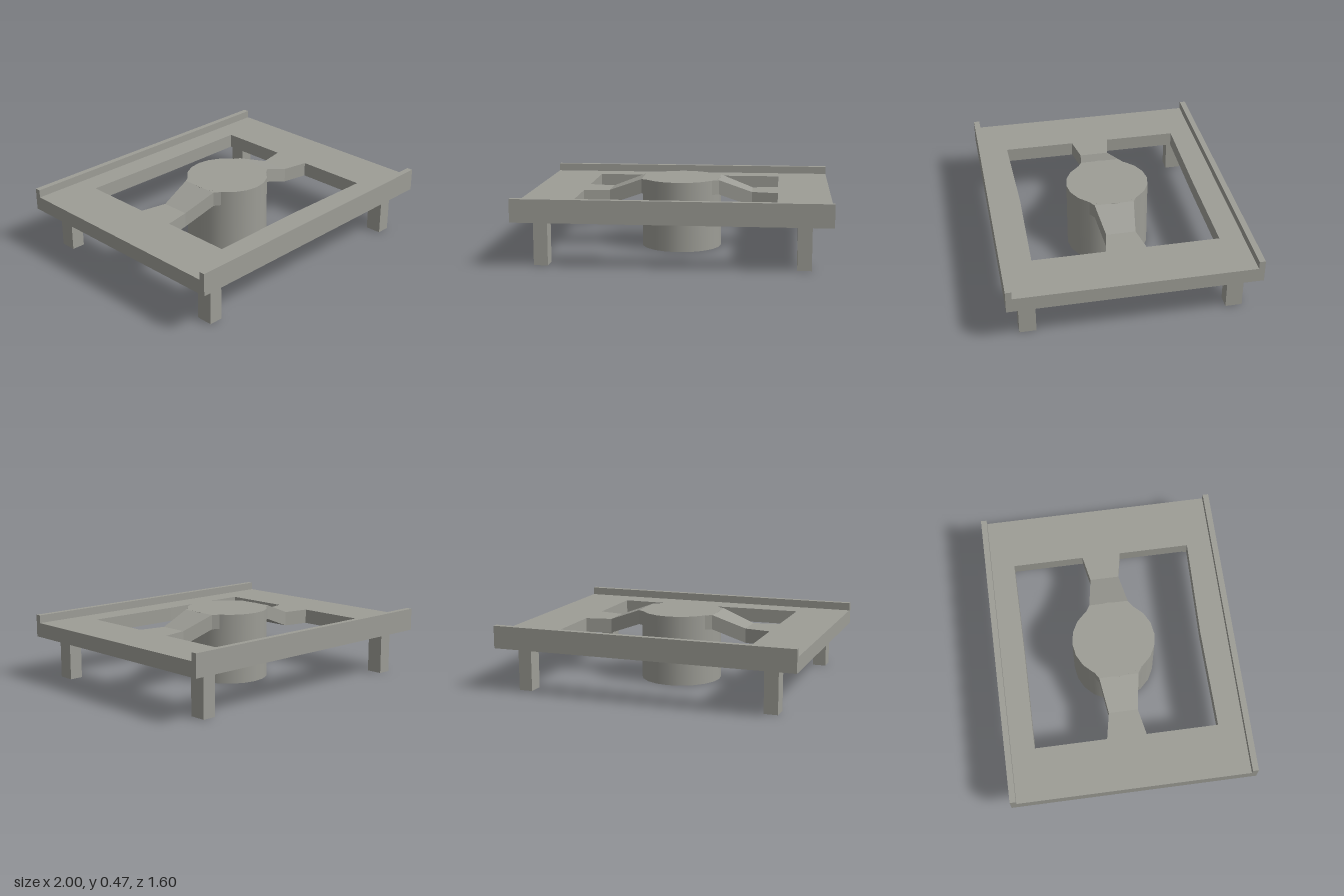
import * as THREE from 'three';

export function createModel() {
  const model = new THREE.Group();
  model.name = 'framedStand';
  const grey = new THREE.MeshStandardMaterial({ color: 0x9d9d96 });
  grey.name = 'warm grey';

  const add = (name, geometry, x = 0, y = 0, z = 0) => {
    const mesh = new THREE.Mesh(geometry, grey);
    mesh.name = name;
    mesh.position.set(x, y, z);
    model.add(mesh);
    return mesh;
  };

  const bottom = 0.287, top = 0.383;

  // Flat frame with one large opening, its long edges slightly bowed
  const plate = new THREE.Shape([
    [-1, -0.762], [1, -0.762], [1, 0.762], [-1, 0.762],
  ].map(([x, y]) => new THREE.Vector2(x, y)));
  plate.holes.push(new THREE.Path([
    [-0.653, -0.598], [-0.653, 0.607], [0, 0.603], [0.653, 0.607], [0.653, -0.598], [0, -0.586],
  ].map(([x, y]) => new THREE.Vector2(x, y))));
  const frame = new THREE.ExtrudeGeometry(plate, { depth: top - bottom, bevelEnabled: false });
  frame.rotateX(-Math.PI / 2);
  add('frame', frame, 0, bottom, 0);

  // Raised rails along the front and back edges
  const railHeight = 0.435 - bottom;
  for (const s of [1, -1]) {
    add(s > 0 ? 'frontRail' : 'backRail', new THREE.BoxGeometry(2, railHeight, 0.039),
      0, bottom + railHeight / 2, s * 0.7805);
  }

  // Four square legs
  for (const sx of [1, -1]) {
    for (const sz of [1, -1]) {
      add((sz > 0 ? 'front' : 'back') + (sx > 0 ? 'Left' : 'Right') + 'Leg',
        new THREE.BoxGeometry(0.09, bottom, 0.108), sx * 0.825, bottom / 2, sz * 0.664);
    }
  }

  // Central drum, a touch narrower across at the top
  const drumHeight = 0.465;
  const drum = new THREE.CylinderGeometry(0.275, 0.275, drumHeight, 20);
  const dp = drum.attributes.position;
  for (let i = 0; i < dp.count; i++) {
    dp.setX(i, dp.getX(i) * (dp.getY(i) > 0 ? 0.965 : 0.985));
  }
  add('drum', drum, 0, drumHeight / 2, -0.004);

  // Waisted arms climbing from the frame to the drum: x, half width, top height
  const sections = [
    [0.2, 0.168, 0.4648], [0.26, 0.13, 0.4648], [0.48, 0.096, top], [0.653, 0.13, top],
  ];
  for (const s of [1, -1]) {
    const arm = new THREE.BoxGeometry(3, 1, 1, 3, 1, 1);
    const p = arm.attributes.position;
    for (let i = 0; i < p.count; i++) {
      const [x, half, y] = sections[Math.round(p.getX(i) + 1.5)];
      p.setXYZ(i, x, p.getY(i) > 0 ? y : y - (top - bottom), Math.sign(p.getZ(i)) * half);
    }
    const flat = arm.toNonIndexed();
    flat.computeVertexNormals();
    add(s > 0 ? 'leftArm' : 'rightArm', flat, 0, 0, -0.003).rotation.y = s > 0 ? 0 : Math.PI;
  }

  return model;
}
